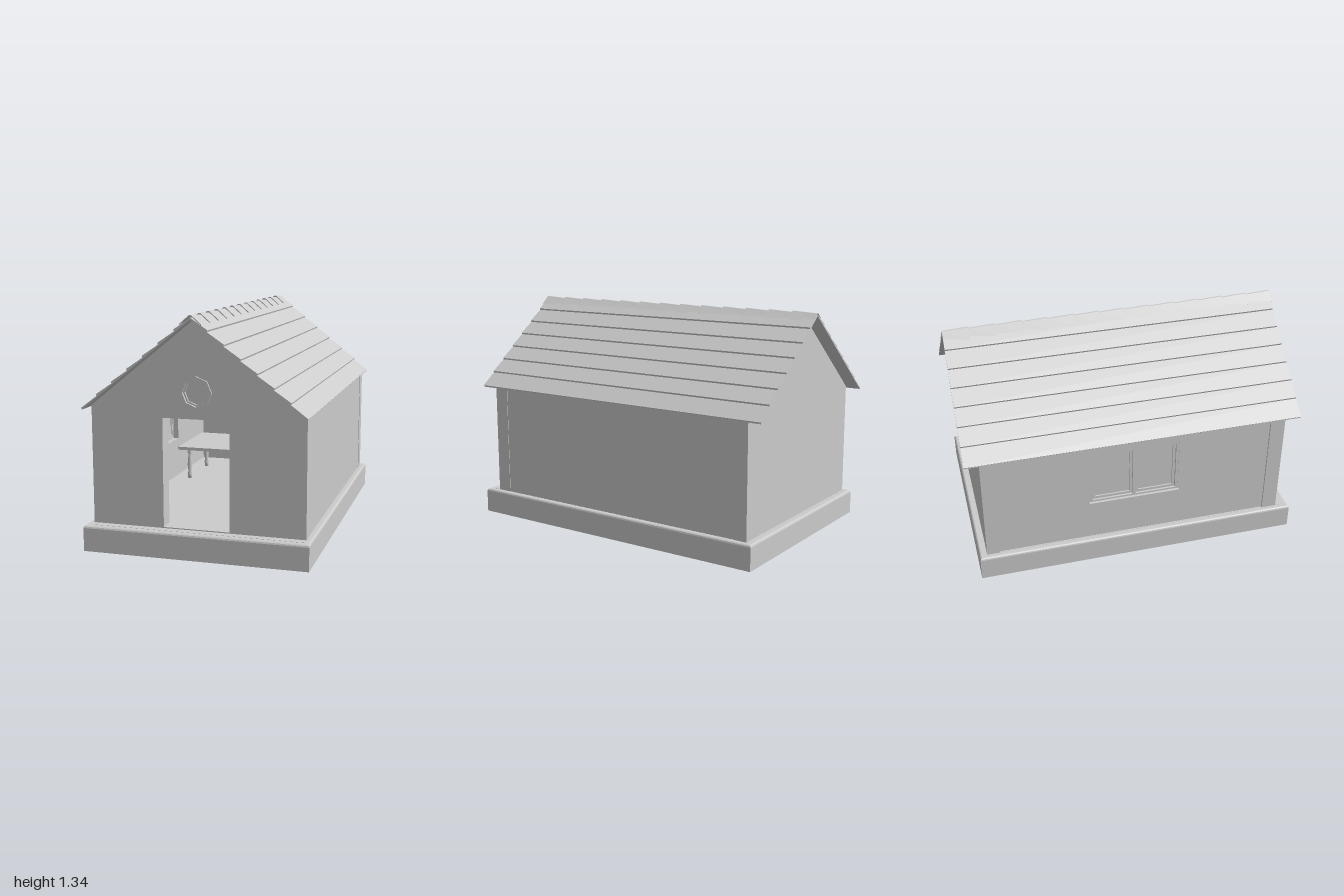
import * as THREE from 'three';

const grey = new THREE.MeshStandardMaterial({ color: 0xcccccc, side: THREE.DoubleSide });
const BASE = 0.145, HALF = 0.612, RIDGE = 1.322, EAVE = 0.63;
const SLOPE = (RIDGE - 0.815) / EAVE;
const roofY = x => RIDGE - Math.abs(x) * SLOPE;

function add(parent, name, geometry, x = 0, y = 0, z = 0) {
  const mesh = new THREE.Mesh(geometry, grey);
  mesh.name = name;
  mesh.position.set(x, y, z);
  parent.add(mesh);
  return mesh;
}
const box = (parent, name, w, h, d, x, y, z) => add(parent, name, new THREE.BoxGeometry(w, h, d), x, y, z);

function polygon(points, Type = THREE.Shape) {
  return new Type(points.map(p => new THREE.Vector2(...p)));
}
const rect = (x0, y0, x1, y1) => [[x0, y0], [x1, y0], [x1, y1], [x0, y1]];
const octagon = (r, y) => Array.from({ length: 8 }, (_, i) =>
  [r * Math.sin(i * Math.PI / 4), y + r * Math.cos(i * Math.PI / 4)]);

function slab(points, depth, holes = []) {
  const shape = polygon(points);
  shape.holes = holes.map(h => polygon(h, THREE.Path));
  return new THREE.ExtrudeGeometry(shape, { depth, bevelEnabled: false });
}

// Skin between successive cross-sections, each a list of [x, y, z]
function loft(sections, closed) {
  const n = sections[0].length, pos = [];
  for (let s = 0; s + 1 < sections.length; s++) {
    for (let i = 0; i < (closed ? n : n - 1); i++) {
      const j = (i + 1) % n;
      const [a, b, c, d] = [sections[s][i], sections[s][j], sections[s + 1][j], sections[s + 1][i]];
      pos.push(...a, ...b, ...c, ...a, ...c, ...d);
    }
  }
  const g = new THREE.BufferGeometry();
  g.setAttribute('position', new THREE.Float32BufferAttribute(pos, 3));
  g.computeVertexNormals();
  return g;
}

// Turned post of the given height, standing on y = 0
function turnedPost(height, r) {
  const profile = [[0, 0], [0.8, 0], [0.8, 0.12], [1, 0.16], [0.65, 0.22], [1, 0.45], [0.65, 0.75],
    [0.65, 0.82], [1, 0.87], [0.7, 0.91], [1, 0.96], [0.8, 1], [0, 1]];
  return new THREE.LatheGeometry(profile.map(([a, b]) => new THREE.Vector2(a * r, b * height)), 12);
}

function foundation(parent) {
  // Hollow plinth with an eased top edge, open underneath
  const ring = (inset, y) => {
    const x = 0.645 - inset, z0 = -0.957 + inset, z1 = 0.985 - inset;
    return [[-x, y, z1], [x, y, z1], [x, y, z0], [-x, y, z0]];
  };
  add(parent, 'foundation', loft([ring(0, 0), ring(0, 0.134), ring(0.003, 0.142), ring(0.01, 0.147),
    ring(0.04, 0.147)], true));
  box(parent, 'floor', 1.22, 0.006, 1.87, 0, 0.145, 0.014);
}

function walls(parent) {
  const gable = [[-HALF, BASE], [HALF, BASE], [HALF, roofY(HALF) - 0.008], [0, RIDGE - 0.006],
    [-HALF, roofY(HALF) - 0.008]];
  const door = rect(-0.195, BASE + 0.004, 0.185, 0.77);
  add(parent, 'frontWall', slab(gable, 0.09, [door, octagon(0.082, 0.915)]), 0, 0, 0.815);
  add(parent, 'backWall', slab(gable, 0.08), 0, 0, -0.912);

  // Side walls; the one at -x has the window opening
  const side = rect(-0.84, BASE, 0.82, 0.815);
  const right = slab(side, 0.07).rotateY(-Math.PI / 2);
  add(parent, 'rightWall', right, HALF - 0.003, 0, 0);
  const left = slab(side, 0.07, [rect(-0.285, 0.4, 0.255, 0.755)]).rotateY(-Math.PI / 2);
  add(parent, 'leftWall', left, -HALF + 0.08, 0, 0);

  // Door lining
  box(parent, 'doorJamb', 0.012, 0.62, 0.03, 0.179, 0.46, 0.83);
  box(parent, 'doorSill', 0.38, 0.008, 0.09, -0.005, 0.15, 0.86);
}

function roundWindow(parent) {
  const g = new THREE.Group();
  g.name = 'gableWindow';
  parent.add(g);
  add(g, 'gableWindowRim', slab(octagon(0.09, 0.915), 0.02, [octagon(0.077, 0.915)]), 0, 0, 0.895);
  add(g, 'gableWindowFrame', slab(octagon(0.082, 0.915), 0.03, [octagon(0.067, 0.915)]), 0, 0, 0.87);
  add(g, 'gableWindowPane', slab(octagon(0.07, 0.915), 0.008), 0, 0, 0.88);
}

function sideWindow(parent) {
  const g = new THREE.Group();
  g.name = 'sideWindow';
  g.position.set(-0.58, 0, -0.015);
  parent.add(g);
  const frame = slab(rect(-0.27, 0.4, 0.27, 0.755), 0.035,
    [rect(-0.252, 0.418, -0.01, 0.737), rect(0.01, 0.418, 0.252, 0.737)]).rotateY(-Math.PI / 2);
  add(g, 'windowFrame', frame, 0.015);
  for (const s of [-1, 1]) {
    const z0 = s * 0.131;
    const sash = slab(rect(-0.121, 0.418, 0.121, 0.737), 0.02,
      [rect(-0.105, 0.434, 0.105, 0.721)]).rotateY(-Math.PI / 2);
    add(g, 'windowSash', sash, 0.012, 0, z0);
    box(g, 'windowPane', 0.006, 0.3, 0.22, 0.004, 0.578, z0);
  }
  box(g, 'windowSill', 0.05, 0.014, 0.55, -0.012, 0.4, 0);
}

function roof(parent) {
  const count = 7, step = EAVE / count;
  for (const s of [-1, 1]) {
    // Deck under the boards
    const deck = [[0, RIDGE], [s * EAVE, roofY(EAVE)], [s * EAVE, roofY(EAVE) - 0.006], [0, RIDGE - 0.006]];
    add(parent, 'roofDeck', slab(deck, 1.99), 0, 0, -0.998);
    // Overlapping boards, each with its lower edge lifted over the next
    for (let i = 0; i < count; i++) {
      const a = i * step, b = a + step, lift = i === count - 1 ? 0.004 : 0.011;
      const board = [[s * a, roofY(a)], [s * b, roofY(b)], [s * (b + 0.004), roofY(b) + lift],
        [s * a, roofY(a) + 0.002]];
      add(parent, 'roofBoard', slab(board, 1.99), 0, 0, -0.998);
    }
  }
  // Tapered ridge caps, the wide end lapping over the narrow end in front of it
  const n = 13, len = 1.993 / n;
  const cap = (w, top, z) => [[-w, top - w * 0.78, z], [-0.006, top, z], [0.006, top, z], [w, top - w * 0.78, z]];
  for (let i = 0; i < n; i++) {
    const z = 0.995 - i * len;
    const wide = cap(0.061, 1.338, z), narrow = cap(0.04, 1.33, z - len);
    const under = cap(0.061, 1.331, z);
    add(parent, 'ridgeCap', loft([under, wide, narrow], false));
  }
}

function furniture(parent) {
  const table = new THREE.Group();
  table.name = 'table';
  table.position.set(-0.22, BASE, -0.4);
  parent.add(table);
  box(table, 'tableTop', 0.53, 0.02, 0.5, 0, 0.216, 0);
  for (const x of [-0.208, 0.208]) for (const z of [-0.18, 0.18]) {
    add(table, 'tableLeg', turnedPost(0.208, 0.016), x, 0, z);
  }

  const bed = new THREE.Group();
  bed.name = 'bed';
  bed.position.set(0.34, BASE, -0.4);
  parent.add(bed);
  for (const z of [-0.38, 0.38]) {
    for (const x of [-0.19, 0.19]) add(bed, 'bedPost', turnedPost(0.2, 0.014), x, 0, z);
    for (const y of [0.05, 0.13, 0.17]) box(bed, 'bedRail', 0.38, 0.016, 0.012, 0, y, z);
  }
  box(bed, 'mattress', 0.36, 0.05, 0.74, 0, 0.085, 0);
}

export function createModel() {
  const house = new THREE.Group();
  house.name = 'house';
  foundation(house);
  walls(house);
  roundWindow(house);
  sideWindow(house);
  roof(house);
  furniture(house);
  return house;
}
